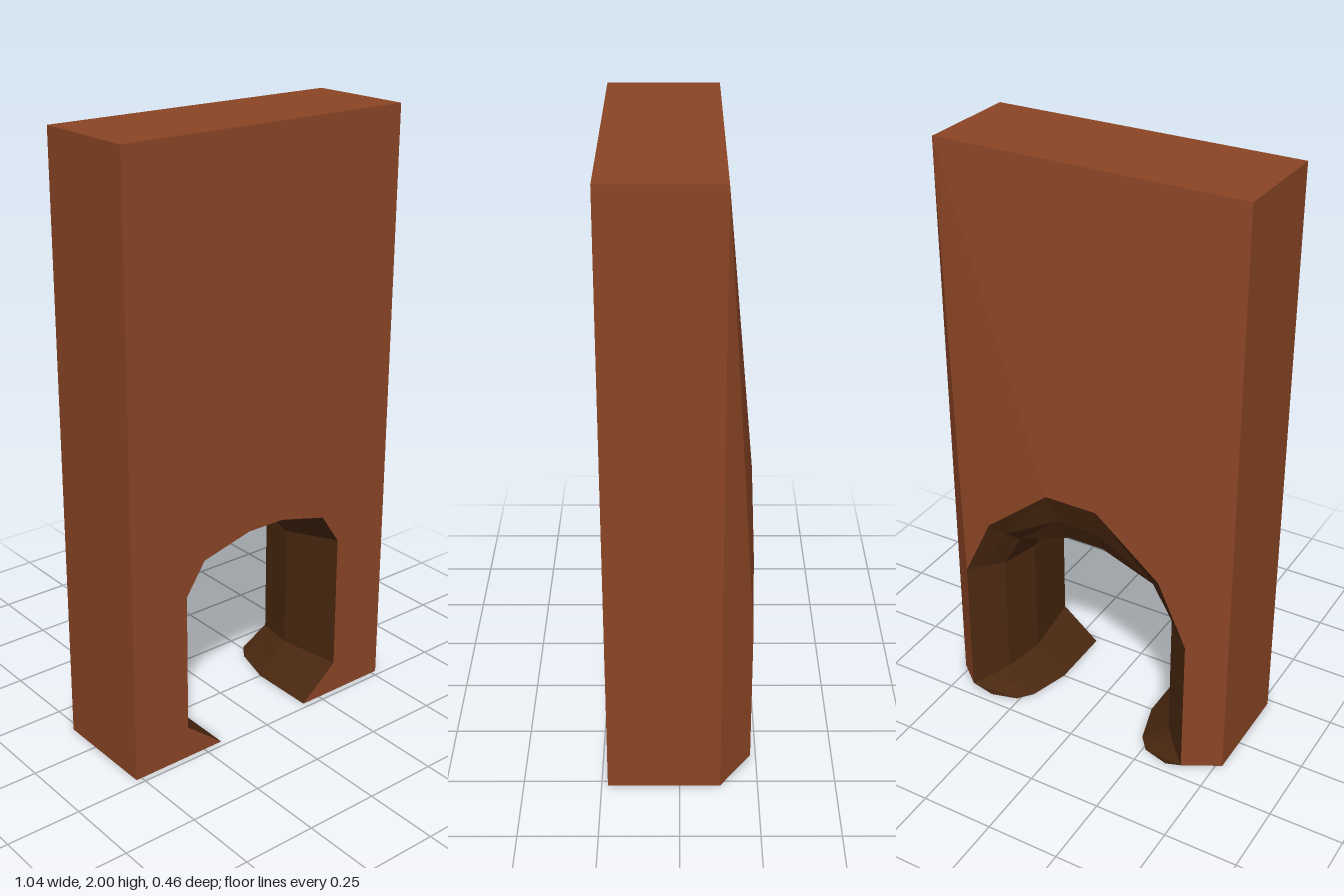
import * as THREE from 'three';

// Collects triangles for the +x half and mirrors each one to -x
class HalfMesh {
  constructor() { this.data = []; }
  tri(a, b, c) {
    const m = ([x, y, z]) => [-x, y, z];
    this.data.push(...a, ...b, ...c, ...m(a), ...m(c), ...m(b));
  }
  fan(center, ...pts) {
    for (let i = 0; i < pts.length - 1; i++) this.tri(center, pts[i], pts[i + 1]);
  }
  build(name, material) {
    const g = new THREE.BufferGeometry();
    g.setAttribute('position', new THREE.Float32BufferAttribute(this.data, 3));
    g.computeVertexNormals();
    const mesh = new THREE.Mesh(g, material);
    mesh.name = name;
    return mesh;
  }
}

// Half outline of the arch opening, from its foot up to the crown
function ring(z, foot, corner, spring, shoulder, crown, footZ = z) {
  return [
    [foot, 0, footZ], [...corner, z], [...spring, z],
    [...shoulder, z], [...crown, z], [0, crown[1], z],
  ];
}

export function createModel() {
  const brown = new THREE.MeshStandardMaterial({ color: 0x8b4525 });
  brown.name = 'brown';
  const darkBrown = new THREE.MeshStandardMaterial({ color: 0x4a2810 });
  darkBrown.name = 'dark brown';

  const W = 0.52, H = 2, front = 0.23, back = -0.13;

  // Opening narrows behind the front, then flares to the raised back rim
  const rings = [
    ring(front, 0.18, [0.315, 0.11], [0.315, 0.58], [0.245, 0.685], [0.068, 0.73]),
    ring(0.0, 0.18, [0.29, 0.10], [0.29, 0.535], [0.23, 0.63], [0.06, 0.68]),
    ring(-0.14, 0.22, [0.32, 0.09], [0.32, 0.54], [0.25, 0.66], [0.065, 0.73]),
    ring(-0.19, 0.26, [0.37, 0.06], [0.37, 0.54], [0.28, 0.70], [0.075, 0.82]),
    ring(-0.23, 0.35, [0.415, 0.035], [0.415, 0.53], [0.315, 0.745], [0.09, 0.93], -0.215),
  ];

  // Block: front face, sloping back face, side, top and underside
  const body = new HalfMesh();
  const wall = (z, r, flip) => {
    const A = [W, 0, z], B = [W, H, z], M = [0, H, z];
    const add = (a, b, c) => (flip ? body.tri(a, c, b) : body.tri(a, b, c));
    for (let i = 0; i < 2; i++) add(A, r[i + 1], r[i]);
    add(B, r[2], A);
    for (let i = 2; i < 5; i++) add(B, r[i + 1], r[i]);
    add(B, M, r[5]);
  };
  wall(front, rings[0], false);
  wall(back, rings[rings.length - 1], true);
  body.fan([W, 0, front], [W, 0, back], [W, H, back], [W, H, front]);
  body.fan([W, H, front], [W, H, back], [0, H, back], [0, H, front]);
  body.fan([W, 0, back], [W, 0, front], ...rings.map((r) => r[0]));

  // Lining of the arch between successive rings
  const lining = new HalfMesh();
  for (let k = 0; k < rings.length - 1; k++) {
    const f = rings[k], b = rings[k + 1];
    for (let i = 0; i < 5; i++) lining.fan(f[i], f[i + 1], b[i + 1], b[i]);
  }

  const group = new THREE.Group();
  group.name = 'archedBlock';
  group.add(body.build('block', brown), lining.build('archLining', darkBrown));
  return group;
}
